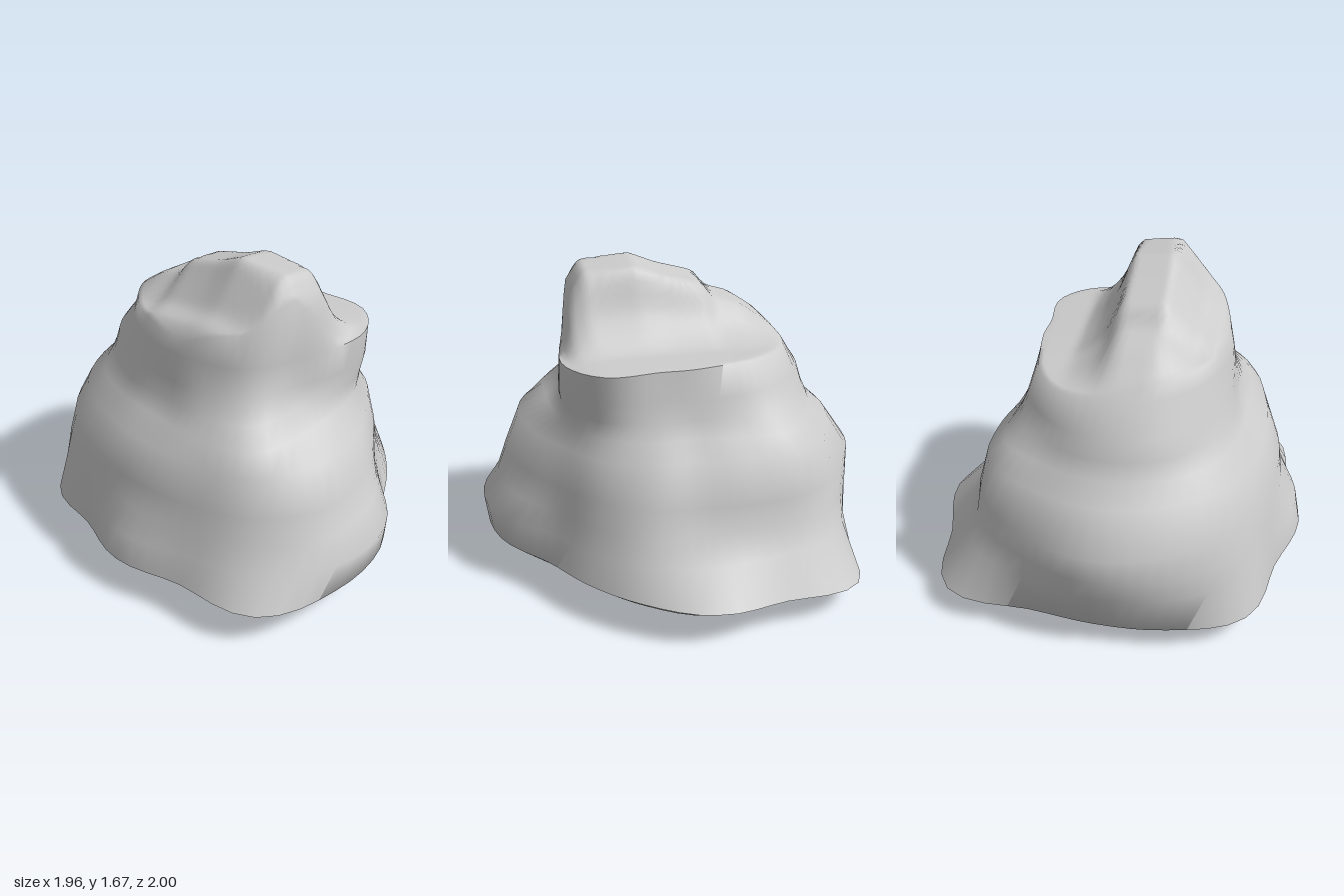
import * as THREE from 'three';
import { toCreasedNormals } from 'three/addons/utils/BufferGeometryUtils.js';

const SEGMENTS = 64;
const LEDGE = 1.25, PEAK = 1.68;

// Horizontal sections: height and 16 radii, turning from +x towards +z
const rim = [.98, .87, .80, .79, .94, 1.05, 1.14, .97, .98, .94, 1.06, .96, .90, .93, 1.13, .98];
const sections = [
  [.01, rim.map(r => r * .3)],
  [.04, rim.map(r => r * .62)],
  [.10, rim.map(r => r * .85)],
  [.20, rim],
  [.36, [.82, .80, .75, .76, .96, 1.05, 1.02, .93, .95, .92, 1.0, 1.0, .98, .95, .97, .86]],
  [.48, [.70, .72, .71, .73, .87, .97, .96, .88, .86, .89, .97, 1.0, 1.0, .94, .91, .77]],
  [.62, [.68, .69, .69, .71, .81, .92, .92, .86, .84, .86, .93, .98, 1.0, .93, .88, .76]],
  [.82, [.58, .60, .64, .66, .74, .84, .87, .79, .76, .78, .85, .86, .86, .83, .83, .68]],
  [.91, [.50, .54, .58, .60, .62, .68, .80, .71, .65, .68, .75, .77, .76, .73, .73, .58]],
  [1.0, [.47, .50, .57, .61, .59, .59, .70, .65, .60, .64, .69, .73, .72, .68, .64, .52]],
  [1.10, [.45, .48, .58, .63, .59, .56, .62, .60, .58, .61, .66, .70, .69, .64, .57, .49]],
  [LEDGE, [.43, .46, .60, .63, .58, .56, .60, .57, .56, .56, .58, .59, .59, .58, .51, .44]],
];

// Height of the summit along x and along z
const acrossX = [[-.58, LEDGE], [-.5, 1.4], [-.4, 1.45], [-.23, PEAK], [-.01, 1.65],
  [.06, 1.45], [.14, 1.34], [.22, 1.27], [.45, LEDGE]];
const alongZ = [[-.6, LEDGE], [-.52, 1.33], [-.38, 1.43], [-.23, 1.48], [-.18, 1.56],
  [.03, 1.62], [.17, PEAK], [.44, 1.66], [.52, 1.53], [.57, LEDGE]];

// Share of the full rise at t, linear between profile points
function rise(profile, t) {
  for (let i = 1; i < profile.length; i++) {
    const [a, ya] = profile[i - 1], [b, yb] = profile[i];
    if (t >= a && t <= b) return (ya + (yb - ya) * (t - a) / (b - a) - LEDGE) / (PEAK - LEDGE);
  }
  return 0;
}

// Rise averaged over a short distance, to round the ridge
const softRise = (profile, t) => [-.02, -.01, 0, .01, .02].reduce((sum, d) => sum + rise(profile, t + d) / 5, 0);
const summitHeight = (x, z) => LEDGE + (PEAK - LEDGE) * softRise(acrossX, x) * softRise(alongZ, z);

// Smooth closed interpolation of the radii
function radiusAt(radii, u) {
  const n = radii.length, i = Math.floor(u * n), f = u * n - i;
  const [a, b, c, d] = [-1, 0, 1, 2].map(k => radii[(i + k + n) % n]);
  return b + .5 * f * (c - a + f * (2 * a - 5 * b + 4 * c - d + f * (3 * (b - c) + d - a)));
}

function ringFrom(y, radii) {
  return Array.from({ length: SEGMENTS }, (_, j) => {
    const u = j / SEGMENTS, a = u * Math.PI * 2, r = radiusAt(radii, u);
    // The rim and underside sit lower at the back
    const dip = y <= .2 ? 1 - .4 * Math.max(0, -Math.sin(a)) : 1;
    return new THREE.Vector3(r * Math.cos(a), y * dip, r * Math.sin(a));
  });
}

function rockGeometry() {
  const rings = sections.map(([y, radii]) => ringFrom(y, radii));

  // Summit: shrink the last section inwards and lift it to the ridge
  const edge = rings[rings.length - 1], steps = 24, cx = -.1, cz = .12;
  for (let k = 1; k < steps; k++) {
    const s = 1 - k / steps;
    rings.push(edge.map(p => {
      const x = cx + (p.x - cx) * s, z = cz + (p.z - cz) * s;
      return new THREE.Vector3(x, summitHeight(x, z), z);
    }));
  }

  const points = rings.flat(), index = [];
  for (let i = 0; i < rings.length - 1; i++) {
    for (let j = 0; j < SEGMENTS; j++) {
      const a = i * SEGMENTS + j, b = i * SEGMENTS + (j + 1) % SEGMENTS;
      index.push(a, a + SEGMENTS, b, b, a + SEGMENTS, b + SEGMENTS);
    }
  }
  // Close the underside and the summit
  const bottom = points.push(new THREE.Vector3(0, 0, 0)) - 1;
  const top = points.push(new THREE.Vector3(cx, summitHeight(cx, cz), cz)) - 1;
  const last = (rings.length - 1) * SEGMENTS;
  for (let j = 0; j < SEGMENTS; j++) {
    const n = (j + 1) % SEGMENTS;
    index.push(bottom, j, n, last + j, top, last + n);
  }
  const geometry = new THREE.BufferGeometry().setFromPoints(points);
  geometry.setIndex(index);
  return toCreasedNormals(geometry, 1.1);
}

export function createModel() {
  const group = new THREE.Group();
  group.name = 'boulder';
  const rock = new THREE.Mesh(rockGeometry(), new THREE.MeshStandardMaterial({ color: 0xcccccc }));
  rock.name = 'rock';
  group.add(rock);
  return group;
}
